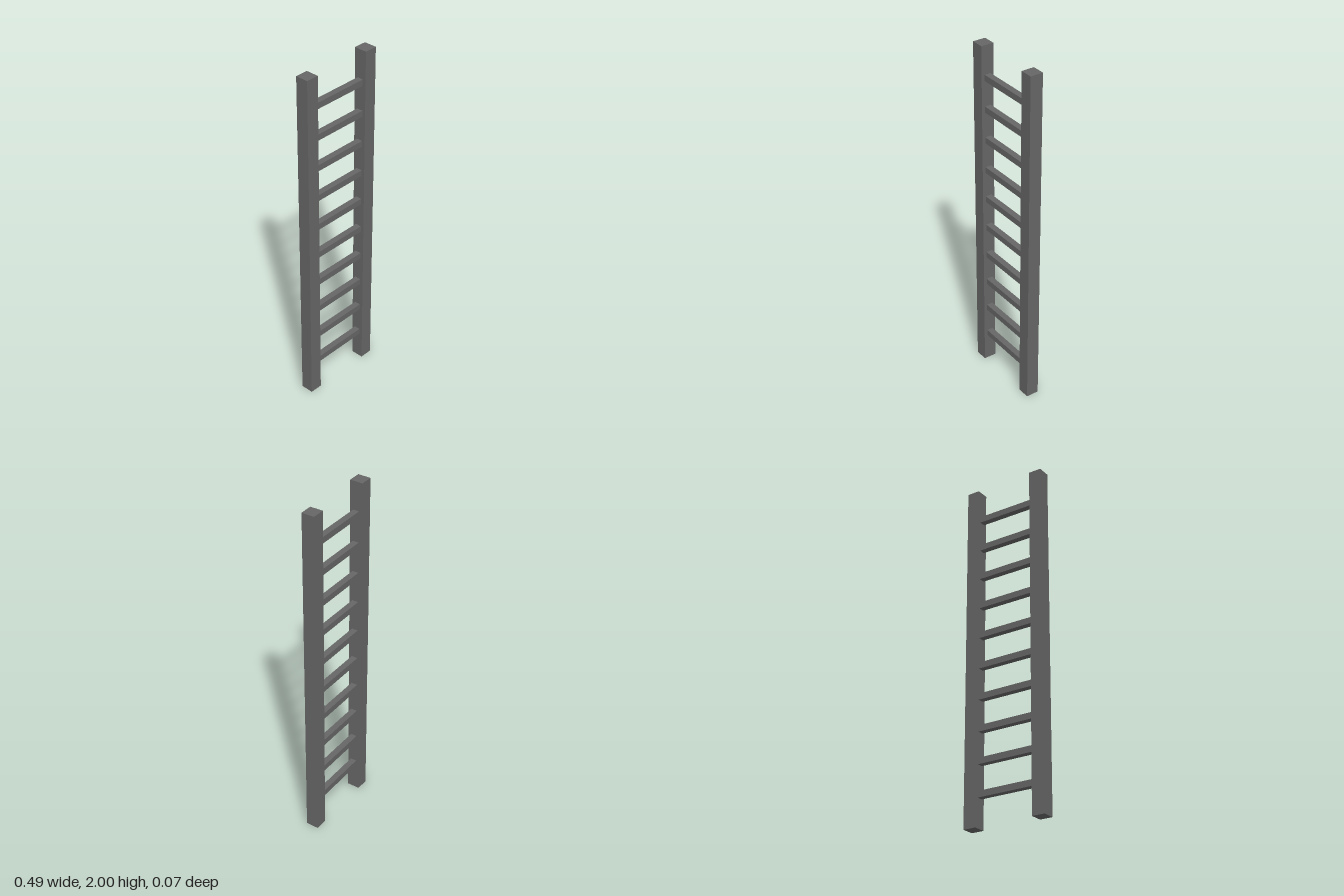
import * as THREE from 'three';

export function createModel() {
  const ladder = new THREE.Group();
  ladder.name = 'ladder';
  const darkGrey = new THREE.MeshStandardMaterial({ color: 0x666666 });
  darkGrey.name = 'darkGrey';

  const height = 2, railSize = 0.074, railX = 0.21;
  const rungSize = 0.036, rungCount = 10;

  const addPart = (name, geometry, x, y) => {
    const mesh = new THREE.Mesh(geometry, darkGrey);
    mesh.name = name;
    mesh.position.set(x, y, 0);
    ladder.add(mesh);
  };

  // Square upright rails
  const railGeometry = new THREE.BoxGeometry(railSize, height, railSize);
  addPart('leftRail', railGeometry, railX, height / 2);
  addPart('rightRail', railGeometry, -railX, height / 2);

  // Evenly spaced square rungs between the rails
  const rungGeometry = new THREE.BoxGeometry(2 * railX - railSize, rungSize, rungSize);
  for (let i = 1; i <= rungCount; i++) {
    addPart(`rung${i}`, rungGeometry, 0, (height * i) / (rungCount + 1));
  }
  return ladder;
}
